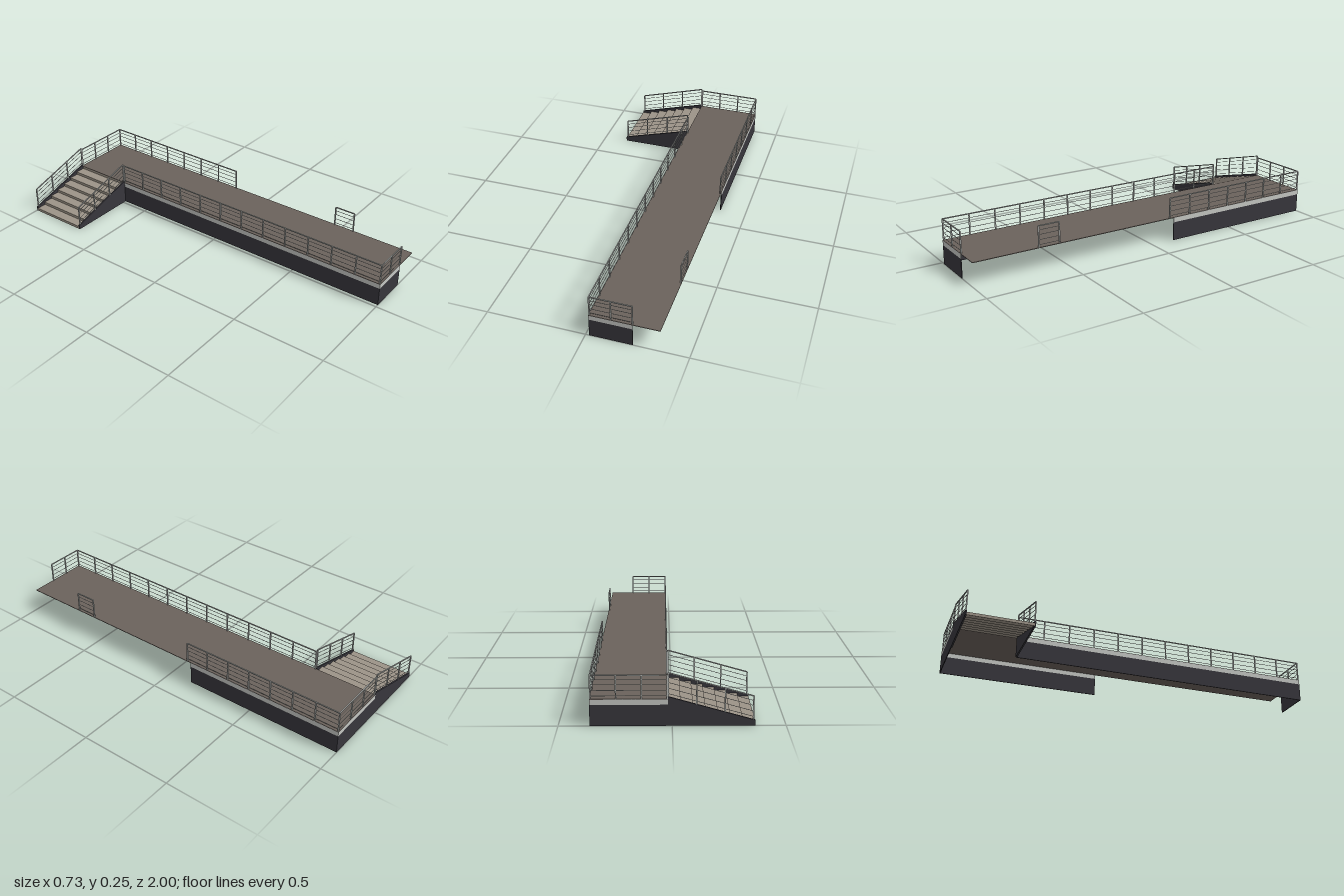
import * as THREE from 'three';

const material = (name, color) => {
  const m = new THREE.MeshStandardMaterial({ color });
  m.name = name;
  return m;
};

export function createModel() {
  const model = new THREE.Group();
  model.name = 'platformWithStairs';

  const deckBrown = material('deckBrown', 0x6b625c);
  const treadBeige = material('treadBeige', 0x9c9387);
  const skirtDark = material('skirtDark', 0x37363c);
  const bandGrey = material('bandGrey', 0xc4c6c2);
  const railGrey = material('railGrey', 0xb8bbb8);

  const X0 = 0.018, X1 = 0.362, DECK = 0.125, BAND = 0.098, T = 0.004;
  const STAIR_X = -0.365, STAIR_Z = -0.66;

  // Box given by its minimum and maximum corners
  function box(name, mat, min, max, parent = model) {
    const size = max.map((v, i) => v - min[i]);
    const mesh = new THREE.Mesh(new THREE.BoxGeometry(...size), mat);
    mesh.position.set(...min.map((v, i) => v + size[i] / 2));
    mesh.name = name;
    parent.add(mesh);
    return mesh;
  }

  // Square bar running between two points
  function bar(name, a, b, width, parent) {
    const mesh = new THREE.Mesh(new THREE.BoxGeometry(width, width, a.distanceTo(b)), railGrey);
    mesh.position.copy(a).add(b).multiplyScalar(0.5);
    mesh.lookAt(b);
    mesh.name = name;
    parent.add(mesh);
  }

  // Railing: posts, four thin rails and a handrail, following the line a-b
  function railing(name, a, b, bays) {
    const group = new THREE.Group();
    group.name = name;
    const start = new THREE.Vector3(...a), end = new THREE.Vector3(...b);
    const lift = (p, h) => p.clone().setY(p.y + h);
    for (let i = 0; i <= bays; i++) {
      const p = start.clone().lerp(end, i / bays);
      box('post', railGrey, [p.x - 0.003, p.y - 0.002, p.z - 0.003],
        [p.x + 0.003, p.y + 0.108, p.z + 0.003], group);
    }
    for (const h of [0.013, 0.038, 0.064, 0.087]) bar('rail', lift(start, h), lift(end, h), 0.002, group);
    bar('handrail', lift(start, 0.108), lift(end, 0.108), 0.005, group);
    model.add(group);
  }

  // Deck slab
  box('deck', deckBrown, [X0, DECK - 0.003, -1], [X1, DECK, 1]);

  // Skirt walls with a pale band along the top
  function wall(name, xa, xb, za, zb) {
    box(name + 'Skirt', skirtDark, [xa, 0, za], [xb, BAND, zb]);
    box(name + 'Band', bandGrey, [xa, BAND, za], [xb, DECK - 0.001, zb]);
  }
  wall('left', X0, X0 + T, STAIR_Z, 1);
  wall('right', X1 - T, X1, -1, -0.13);
  wall('back', X0, X1, -1, -1 + T);
  wall('front', X0, 0.23, 1 - T, 1);

  // Deck railings
  const e = 0.004;
  railing('leftRailing', [X0 + e, DECK, 1 - e], [X0 + e, DECK, STAIR_Z], 12);
  railing('rightRailing', [X1 - e, DECK, -0.107], [X1 - e, DECK, -1 + e], 7);
  railing('shortRightRailing', [X1 - e, DECK, 0.657], [X1 - e, DECK, 0.545], 1);
  railing('backRailing', [X0 + e, DECK, -1 + e], [X1 - e, DECK, -1 + e], 3);
  railing('frontRailing', [X0 + e, DECK, 1 - e], [0.229, DECK, 1 - e], 2);

  // Stairs: treads with closed risers
  const stairs = new THREE.Group();
  stairs.name = 'stairs';
  model.add(stairs);
  const count = 7, run = (X0 - STAIR_X) / count, rise = DECK / (count + 1);
  for (let i = 0; i <= count; i++) {
    const x = STAIR_X + i * run, y = (i + 1) * rise;
    box('riser', treadBeige, [x, y - rise, -0.995], [x + 0.002, y - 0.002, -0.665], stairs);
    if (i < count) box('tread', treadBeige, [x, y - 0.002, -0.995], [x + run, y, -0.665], stairs);
  }

  // Solid sloping sides of the stairs and their railings
  const side = new THREE.Shape([[STAIR_X, 0], [X0, 0], [X0, 0.135], [STAIR_X, 0.025]]
    .map(([x, y]) => new THREE.Vector2(x, y)));
  const sideGeometry = new THREE.ExtrudeGeometry(side, { depth: 0.008, bevelEnabled: false });
  for (const [name, z] of [['back', -1], ['front', STAIR_Z - 0.008]]) {
    const mesh = new THREE.Mesh(sideGeometry, skirtDark);
    mesh.position.z = z;
    mesh.name = name + 'StairSide';
    stairs.add(mesh);
    railing(name + 'StairRailing', [-0.356, 0.028, z + 0.004], [X0 - 0.001, 0.135, z + 0.004], 3);
  }

  return model;
}
